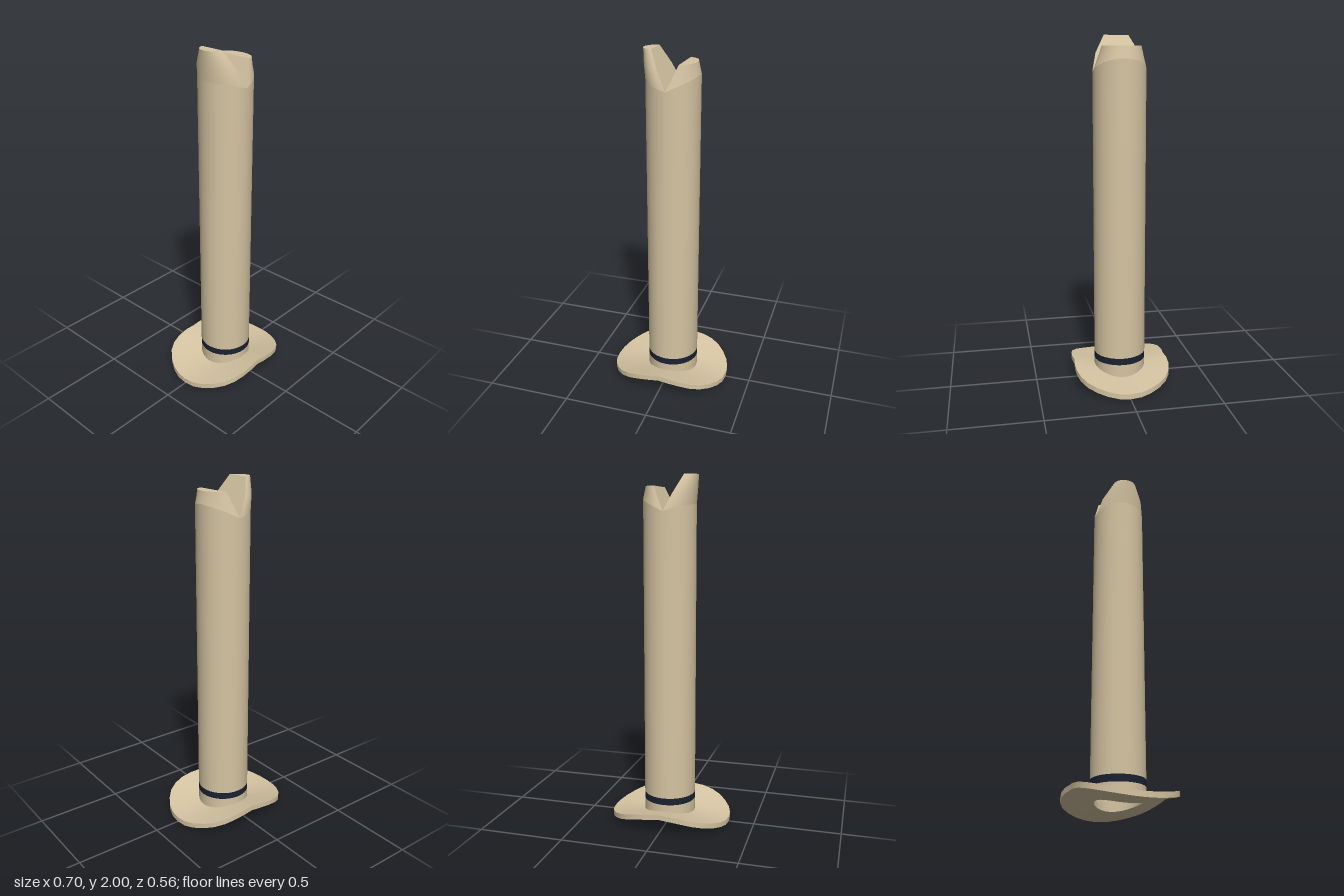
import * as THREE from 'three';
import { toCreasedNormals } from 'three/addons/utils/BufferGeometryUtils.js';

const SEG = 32, CX = 0.01, R = 0.15;

// Skin between rows of points; each row is [[x, y, z], ...] running left to right
function loft(rows, crease = 0.6) {
  const n = rows[0].length, index = [];
  for (let r = 0; r < rows.length - 1; r++) {
    for (let i = 0; i < n - 1; i++) {
      const a = r * n + i, b = a + 1, c = a + n, d = c + 1;
      index.push(a, b, d, a, d, c);
    }
  }
  const g = new THREE.BufferGeometry();
  g.setAttribute('position', new THREE.Float32BufferAttribute(rows.flat(2), 3));
  g.setIndex(index);
  return toCreasedNormals(g, crease);
}

// Full turn starting at +z and passing through +x
const turn = (fn) => Array.from({ length: SEG + 1 }, (_, i) => fn((i / SEG) * Math.PI * 2, i));
const tubeRing = (height, r = R) =>
  turn((a) => [CX + r * Math.sin(a), height(a), r * Math.cos(a)]);

// Quarter outline of the saddle flange, from the x end to the z end
const QUARTER = [[0.352, 0], [0.346, 0.063], [0.326, 0.122], [0.291, 0.18], [0.247, 0.228],
  [0.192, 0.26], [0.131, 0.275], [0.06, 0.278], [0, 0.272]];

export function createModel() {
  const group = new THREE.Group();
  const tan = new THREE.MeshStandardMaterial({ color: 0xd5c4a2, side: THREE.DoubleSide });
  tan.name = 'tan';
  const navy = new THREE.MeshStandardMaterial({ color: 0x1b2133, side: THREE.DoubleSide });
  navy.name = 'darkNavy';
  const add = (name, geometry, material = tan) => {
    const mesh = new THREE.Mesh(geometry, material);
    mesh.name = name;
    group.add(mesh);
  };

  // Saddle flange: rises towards the z edges and drops at the x ends
  const outer = (lift) => turn((a, i) => {
    const q = i % 16, k = q <= 8 ? 8 - q : q - 8;
    const [x, z] = QUARTER[k];
    const c = Math.cos(a);
    return [x * Math.sign(Math.sin(a)), lift + 0.08 * c * c, z * Math.sign(c)];
  });
  const inner = (lift) => tubeRing((a) => 0.018 + lift + 0.025 * Math.cos(a) ** 2, 0.127);
  add('saddleFlange', loft([inner(0), outer(0), outer(0.03), inner(0.03), inner(0)]));

  // Hollow tube with the dark band set into it
  const topEdge = (a) => 1.8 + (Math.sin(a) > 0 ? 0.07 : -0.04) * Math.sin(a);
  const flat = (y) => tubeRing(() => y);
  add('tubeFoot', loft([tubeRing((a) => 0.035 + 0.025 * Math.cos(a) ** 2), flat(0.12)]));
  add('band', loft([flat(0.12), flat(0.16)]), navy);
  add('tube', loft([flat(0.16), tubeRing(topEdge)]));

  // Two prongs above the tube, each with a flat top
  const prongs = [
    { name: 'leftProng', s: 1, x: 0.072, depth: 0.071, half: 0.11, y: 1.937, bulge: 0 },
    { name: 'rightProng', s: -1, x: -0.09, depth: 0.064, half: 0.07, y: 2, bulge: 0.015 },
  ];
  for (const { name, s, x, depth, half, y, bulge } of prongs) {
    const base = [], mid = [], rim = [], chord = [];
    for (let i = 0; i <= 16; i++) {
      const a = (i / 16) * Math.PI, sn = Math.sin(a), cs = Math.cos(a);
      const b = [CX + s * R * sn, topEdge(s * a), R * cs];
      const t = [x + s * depth * sn, y, half * cs];
      base.push(b);
      rim.push(t);
      mid.push([(b[0] + t[0]) / 2, (b[1] + t[1]) / 2, (b[2] + t[2]) / 2 + bulge * cs]);
      chord.push([x, y, half * cs]);
    }
    const rows = [base, mid, rim], cap = [rim, chord];
    if (s < 0) [...rows, chord].forEach((row) => row.reverse());
    add(name, loft(rows));
    add(name + 'Top', loft(cap));
  }

  // V-shaped notch floor between the prongs
  const notch = [[-0.09, 2, 0.07], [-0.04, 1.9, 0.125], [CX, 1.8, R], [0.072, 1.937, 0.11]];
  add('notch', loft(notch.map(([x, y, z]) => [[x, y, -z], [x, y, z]]).reverse()));

  return group;
}
